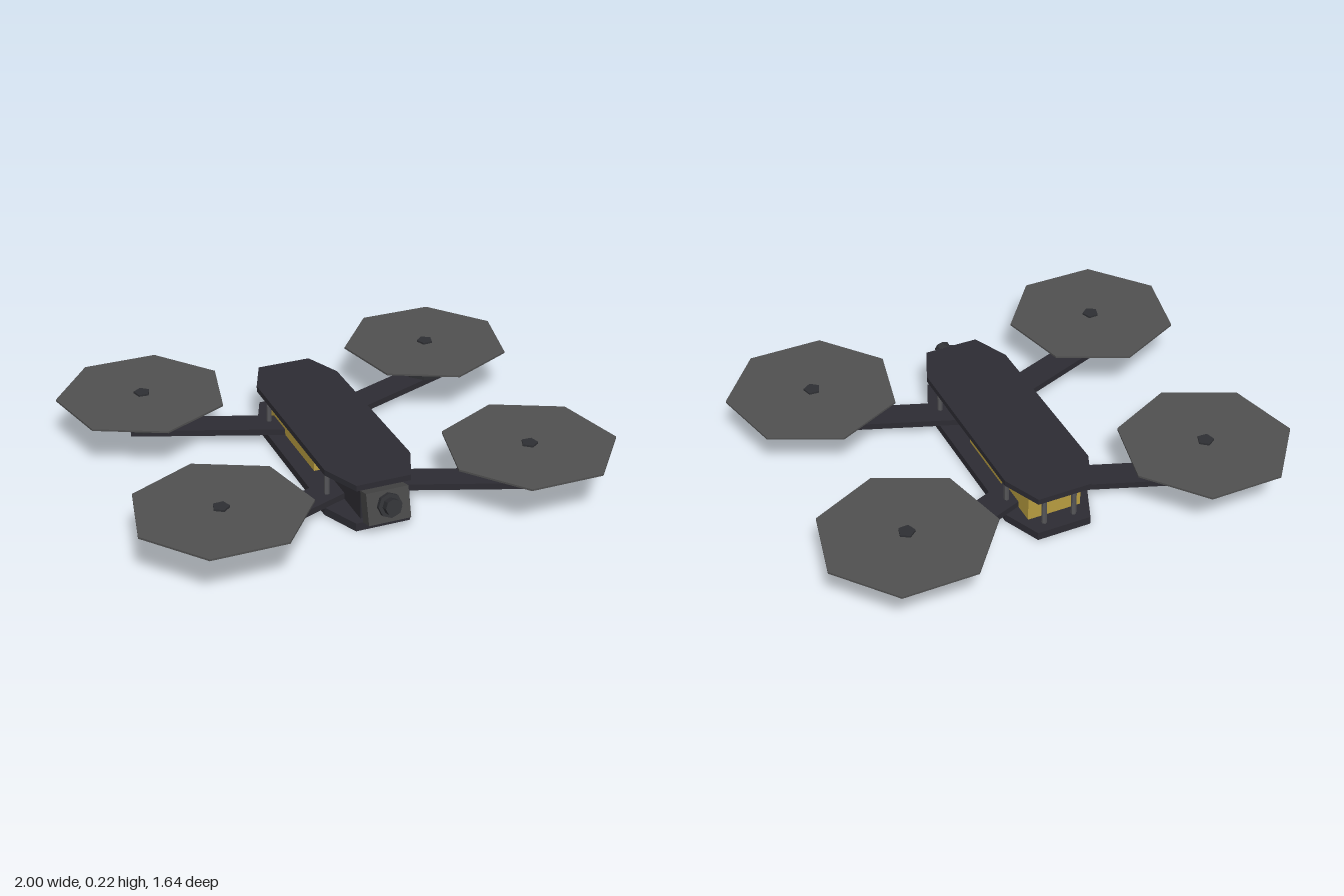
import * as THREE from 'three';

const mat = (color) => new THREE.MeshStandardMaterial({ color, flatShading: true });
const carbon = mat(0x2d2c33), metal = mat(0x2e2f33), bladeGrey = mat(0x505050);
const steel = mat(0x555558), gold = mat(0xb89c40), caseGrey = mat(0x454545);

export function createModel() {
  const model = new THREE.Group();

  function add(name, geometry, material, x = 0, y = 0, z = 0, parent = model) {
    const mesh = new THREE.Mesh(geometry, material);
    mesh.name = name;
    mesh.position.set(x, y, z);
    parent.add(mesh);
    return mesh;
  }
  const box = (w, h, d) => new THREE.BoxGeometry(w, h, d);
  const cyl = (r, h, sides) => new THREE.CylinderGeometry(r, r, h, sides);

  // Chamfered frame plates
  const outline = [
    [-0.115, -0.54], [0.115, -0.54], [0.183, -0.38], [0.183, 0.38],
    [0.115, 0.54], [-0.115, 0.54], [-0.183, 0.38], [-0.183, -0.38],
  ].map(([x, z]) => new THREE.Vector2(x, z));
  function plate(name, bottom, depth) {
    const geometry = new THREE.ExtrudeGeometry(new THREE.Shape(outline), { depth, bevelEnabled: false });
    geometry.rotateX(-Math.PI / 2);
    add(name, geometry, carbon, 0, bottom, 0);
  }
  plate('bottomPlate', 0, 0.035);
  plate('topPlate', 0.18, 0.025);

  // Battery and electronics between the plates
  add('battery', box(0.23, 0.145, 0.55), gold, 0, 0.1075, -0.175);
  add('electronicsBay', box(0.17, 0.145, 0.41), carbon, 0, 0.1075, 0.305);

  // Standoffs
  for (const side of [-1, 1]) {
    for (const [x, z] of [[0.15, 0.325], [0.15, -0.325], [0.065, -0.49]]) {
      add('standoff', cyl(0.011, 0.147, 6), steel, side * x, 0.1075, z);
    }
  }

  // Arms with motor, shaft and propeller disc
  const motorX = 0.65, motorZ = 0.498, rootZ = 0.25;
  const armAngle = Math.atan2(motorZ - rootZ, motorX);
  const armLength = Math.hypot(motorX, motorZ - rootZ) + 0.05;
  for (const sx of [-1, 1]) {
    for (const sz of [-1, 1]) {
      const arm = new THREE.Group();
      arm.name = 'rotorArm';
      arm.position.set(0, 0, sz * rootZ);
      arm.rotation.y = Math.atan2(-sz * Math.sin(armAngle), sx * Math.cos(armAngle));
      model.add(arm);
      add('arm', box(armLength, 0.027, 0.125), carbon, armLength / 2, 0.0475, 0, arm);
      const hubX = armLength - 0.05;
      add('motor', cyl(0.092, 0.08, 8), metal, hubX, 0.1, 0, arm);
      add('motorShaft', cyl(0.035, 0.077, 5), metal, hubX, 0.1765, 0, arm).rotation.y = Math.PI / 2;

      const disc = add('propeller', cyl(0.358, 0.008, 7), bladeGrey, sx * motorX, 0.203, sz * motorZ);
      if (sz > 0) disc.rotation.y = Math.PI;
    }
  }

  // Upward-tilted front camera
  const camera = new THREE.Group();
  camera.name = 'frontCamera';
  camera.position.set(0, 0.11, 0.56);
  camera.rotation.x = -0.26;
  model.add(camera);
  add('cameraCase', box(0.178, 0.13, 0.06), caseGrey, 0, 0, 0, camera);
  add('lensRing', cyl(0.05, 0.025, 8), metal, 0, 0.005, 0.037, camera).rotation.x = Math.PI / 2;
  add('lensBarrel', cyl(0.034, 0.055, 8), metal, 0, 0.005, 0.056, camera).rotation.x = Math.PI / 2;

  return model;
}
